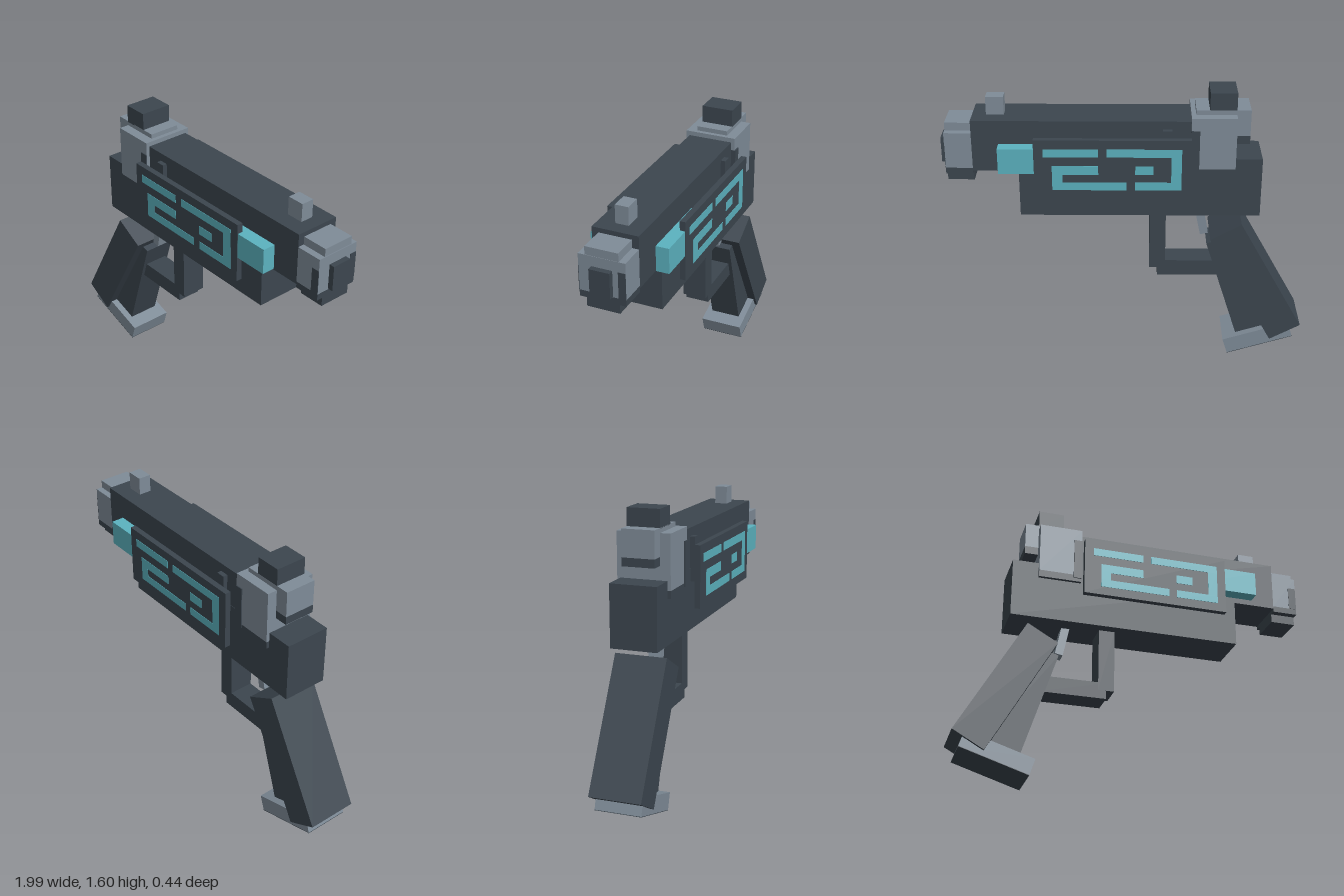
import * as THREE from 'three';

const paint = (name, color) => {
  const m = new THREE.MeshStandardMaterial({ color });
  m.name = name;
  return m;
};

export function createModel() {
  const dark = paint('darkSteel', 0x3c464f);
  const grey = paint('greySteel', 0x7f8c98);
  const teal = paint('tealGlow', 0x5cb3c0);
  const model = new THREE.Group();
  model.name = 'blockyPistol';

  // Box from its bounds on each axis
  function box(name, mat, x0, x1, y0, y1, z0, z1, parent = model) {
    const mesh = new THREE.Mesh(new THREE.BoxGeometry(x1 - x0, y1 - y0, z1 - z0), mat);
    mesh.position.set((x0 + x1) / 2, (y0 + y1) / 2, (z0 + z1) / 2);
    mesh.name = name;
    parent.add(mesh);
    return mesh;
  }
  // Box centred on z = 0
  const mid = (name, mat, x0, x1, y0, y1, h) => box(name, mat, x0, x1, y0, y1, -h, h);

  // Box leaning about z: top right corner, width, height, lean from vertical
  function leaning(name, mat, x, y, w, h, half, degrees) {
    const pivot = new THREE.Group();
    pivot.name = name + 'Pivot';
    pivot.position.set(x, y, 0);
    pivot.rotation.z = -THREE.MathUtils.degToRad(degrees);
    box(name, mat, -w, 0, -h, 0, -half, half, pivot);
    model.add(pivot);
    return pivot;
  }

  // Frame and slide
  mid('frame', dark, -0.725, 0.58, 0.905, 1.24, 0.127);
  mid('slide', dark, -0.34, 0.825, 1.17, 1.455, 0.125);
  mid('frontSight', grey, 0.655, 0.75, 1.455, 1.555, 0.036);

  // Muzzle: wide cheeks crossed with a taller core, dark underneath
  mid('muzzleCore', grey, 0.825, 0.968, 1.185, 1.43, 0.089);
  mid('muzzleCheeks', grey, 0.825, 0.97, 1.185, 1.385, 0.125);
  mid('muzzleCheekBase', dark, 0.825, 0.97, 1.15, 1.185, 0.125);
  mid('muzzleChin', dark, 0.825, 0.968, 1.1, 1.185, 0.089);
  mid('bore', dark, 0.96, 1.0, 1.19, 1.33, 0.055);
  box('muzzleSidePatch', dark, 0.925, 0.97, 1.185, 1.32, 0.124, 0.127);
  box('muzzleFrontPatch', dark, 0.969, 0.972, 1.185, 1.33, -0.125, -0.085);

  // Rear block with the hammer housing and rear sight
  mid('rearBlock', grey, -0.58, -0.34, 1.19, 1.48, 0.145);
  mid('rearBlockBase', dark, -0.58, -0.34, 1.15, 1.19, 0.145);
  mid('hammerHousing', grey, -0.655, -0.365, 1.36, 1.505, 0.089);
  mid('hammerHousingBase', dark, -0.655, -0.5, 1.315, 1.36, 0.089);
  mid('rearSight', dark, -0.58, -0.437, 1.5, 1.6, 0.089);
  for (const [x0, x1] of [[-0.385, -0.34], [-0.24, -0.19]])
    mid('slideRib', dark, x0, x1, 1.17, 1.41, 0.151);

  // Glowing inlay bars: x0, x1, y0, y1
  const bars = [
    [-0.29, 0.0, 1.29, 1.335],
    [0.045, 0.44, 1.29, 1.335],
    [0.385, 0.44, 1.145, 1.29],
    [0.195, 0.44, 1.1, 1.145],
    [0.195, 0.29, 1.19, 1.24],
    [-0.245, 0.0, 1.19, 1.24],
    [-0.245, -0.19, 1.145, 1.19],
    [-0.245, 0.15, 1.1, 1.145],
  ];
  const cx = 0.075; // centre of the side panels
  for (const s of [1, -1]) {
    const z = (name, mat, x0, x1, y0, y1, a, b) =>
      box(name, mat, x0, x1, y0, y1, Math.min(s * a, s * b), Math.max(s * a, s * b));
    z('energyCell', teal, 0.245, 0.68, 1.192, 1.333, 0.142, 0.214);
    z('sidePanel', dark, -0.34, 0.49, 1.05, 1.385, 0.185, 0.217);
    // The far side carries the same pattern turned half a turn
    for (const [x0, x1, y0, y1] of bars) {
      const a = s > 0 ? x0 : 2 * cx - x1;
      const b = s > 0 ? x1 : 2 * cx - x0;
      z('panelInlay', teal, a, b, y0, y1, 0.216, 0.219);
    }
  }

  // Trigger and guard
  mid('guardPost', dark, -0.215, -0.125, 0.545, 0.91, 0.07);
  mid('guardBar', dark, -0.54, -0.17, 0.497, 0.59, 0.0695);
  leaning('trigger', grey, -0.366, 0.95, 0.045, 0.215, 0.035, 11.5);

  // Raked grip, its front strap and the magazine foot
  leaning('grip', dark, -0.46, 0.76, 0.195, 0.743, 0.142, 29.3);
  leaning('gripFrontStrap', dark, -0.443, 0.71, 0.2, 0.616, 0.09, 17.7);
  const foot = leaning('magazineFoot', grey, -0.555, 0.095, 0.388, 0.093, 0.127, 17.7);
  box('footSole', dark, -0.388, 0, -0.096, -0.093, -0.127, 0.127, foot);

  return model;
}
